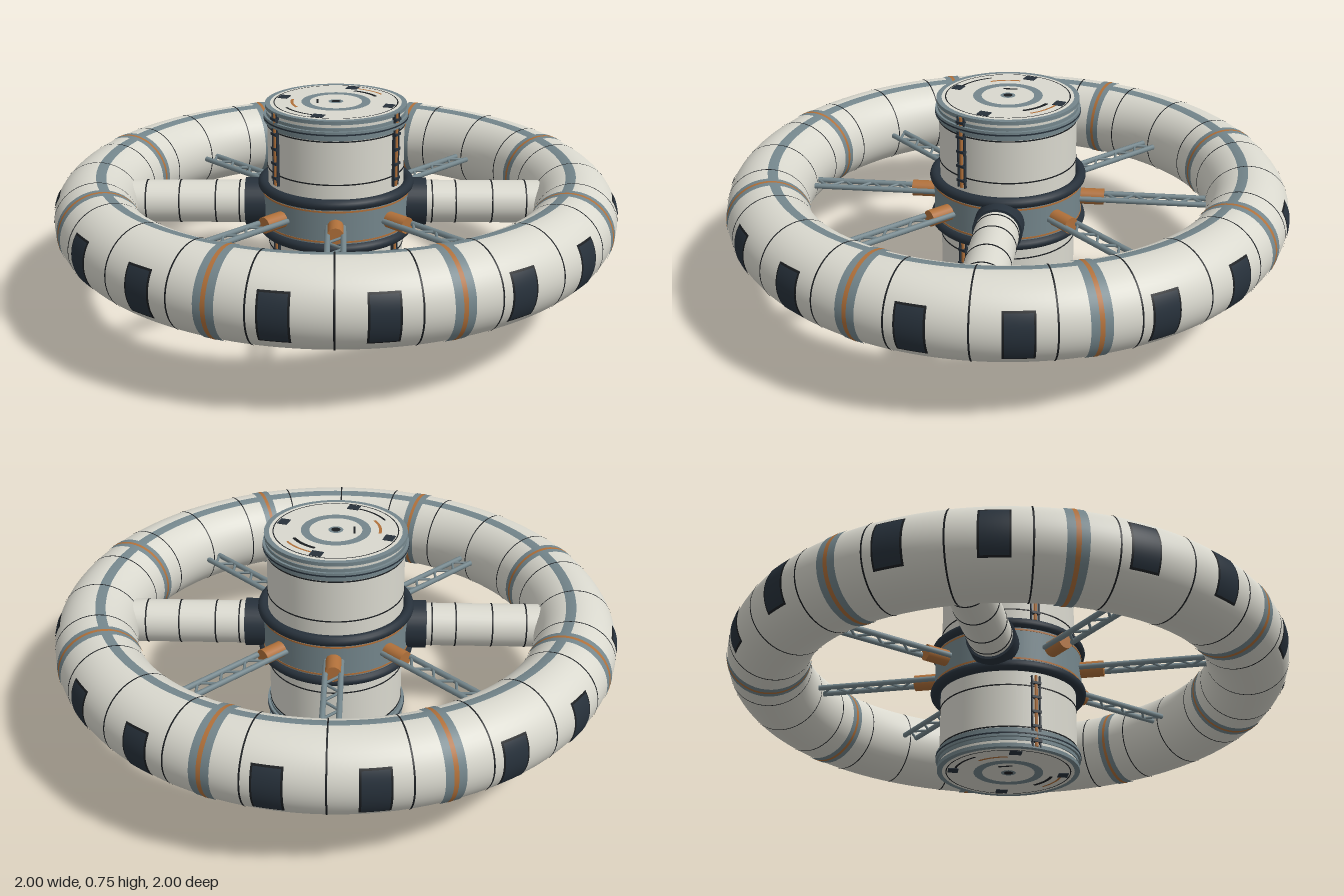
import * as THREE from 'three';
import { ParametricGeometry } from 'three/addons/geometries/ParametricGeometry.js';

const RING = 0.853, TUBE = 0.143, MID = 0.375, HUB = 0.243;
const rad = THREE.MathUtils.degToRad;

function material(name, color) {
  const m = new THREE.MeshStandardMaterial({ color });
  m.name = name;
  return m;
}

export function createModel() {
  const white = material('hull white', 0xd9d8ce);
  const steel = material('steel blue', 0x74868c);
  const navy = material('dark navy', 0x27313b);
  const black = material('seam black', 0x1b1e21);
  const orange = material('copper orange', 0xb0703a);

  const model = new THREE.Group();
  model.name = 'spaceStation';

  function add(parent, name, geometry, mat, x = 0, y = 0, z = 0) {
    const mesh = new THREE.Mesh(geometry, mat);
    mesh.name = name;
    mesh.position.set(x, y, z);
    parent.add(mesh);
    return mesh;
  }
  function group(parent, name, y = 0) {
    const g = new THREE.Group();
    g.name = name;
    g.position.y = y;
    parent.add(g);
    return g;
  }

  // Patch of the ring: u runs round the ring from +z to +x, v round the tube (degrees)
  function patch(lift, u0, u1, v0, v1, uSeg, vSeg) {
    return new ParametricGeometry((s, t, p) => {
      const u = rad(u0 + (u1 - u0) * s), v = rad(v0 + (v1 - v0) * t);
      const d = RING + (TUBE + lift) * Math.cos(v);
      p.set(d * Math.sin(u), (TUBE + lift) * Math.sin(v), d * Math.cos(u));
    }, uSeg, vSeg);
  }

  // Habitat ring
  const ring = group(model, 'habitatRing', MID);
  add(ring, 'ringHull', patch(0, 0, 360, 0, 360, 192, 48), white);
  add(ring, 'ringTopStripe', patch(0.0015, 0, 360, 93, 107, 192, 4), steel);
  for (let i = 0; i < 24; i++) {
    add(ring, 'ringSeam', patch(0.002, i * 15 - 0.17, i * 15 + 0.17, 0, 360, 1, 48), black);
  }
  for (let i = 0; i < 8; i++) {
    const a = i * 45 + 22.5;
    add(ring, 'jointBand', patch(0.003, a - 2, a + 2, 0, 360, 3, 48), steel);
    add(ring, 'jointStripe', patch(0.004, a - 0.45, a + 0.45, 0, 360, 1, 48), orange);
    for (const s of [-9.3, 9.3]) {
      const w = i * 45 + s - 0.9;
      add(ring, 'windowFrame', patch(0.002, w - 2.9, w + 2.9, -34, 34, 4, 14), black);
      add(ring, 'window', patch(0.0035, w - 2.5, w + 2.5, -31, 31, 4, 14), navy);
    }
  }

  // Hub: steel waist with dark bumpers and copper lines
  const hub = group(model, 'hub', MID);
  const drum = (parent, name, r, h, y, mat) =>
    add(parent, name, new THREE.CylinderGeometry(r, r, h, 64), mat, 0, y, 0);
  drum(hub, 'hubCore', HUB, 0.74, 0, white);
  drum(hub, 'hubWaist', 0.265, 0.17, 0, steel);
  for (const s of [-1, 1]) {
    const bumper = add(hub, 'waistBumper', new THREE.TorusGeometry(0.261, 0.019, 12, 64), navy, 0, s * 0.08, 0);
    bumper.rotation.x = Math.PI / 2;
    drum(hub, 'waistLine', 0.2665, 0.006, s * 0.055, orange);
  }

  // Flat cap details, drawn in the xy plane then laid on the end of the hub
  function arc(parent, name, r0, r1, start, length, mat, lift) {
    add(parent, name, new THREE.RingGeometry(r0, r1, 48, 1, rad(start), rad(length)), mat, 0, 0, lift);
  }

  // Upper and lower ends, the lower one turned over about x
  for (const s of [1, -1]) {
    const end = group(model, s > 0 ? 'upperEnd' : 'lowerEnd', MID);
    if (s < 0) end.rotation.x = Math.PI;
    drum(end, 'endRim', 0.25, 0.013, 0.366, steel);
    drum(end, 'endBand', 0.255, 0.022, 0.325, steel);
    drum(end, 'bandEdge', 0.2565, 0.005, 0.325, navy);
    drum(end, 'endCollar', 0.2465, 0.045, 0.325, steel);
    drum(end, 'endSeam', 0.245, 0.004, 0.298, black);
    drum(end, 'lowerSeam', 0.245, 0.004, 0.145, black);

    const cap = group(end, 'endCap', 0.3726);
    cap.rotation.x = -Math.PI / 2;
    arc(cap, 'capPlate', 0, 0.232, 0, 360, white, 0.0002);
    arc(cap, 'capSeam', 0.216, 0.22, 0, 360, black, 0.001);
    arc(cap, 'dockingRing', 0.092, 0.122, 0, 360, steel, 0.001);
    arc(cap, 'dockingPort', 0, 0.026, 0, 360, steel, 0.001);
    arc(cap, 'dockingCore', 0, 0.016, 0, 360, black, 0.0016);
    arc(cap, 'capMark', 0.15, 0.163, 25, 40, black, 0.001);
    arc(cap, 'capMark', 0.15, 0.16, 170, 40, orange, 0.001);
    arc(cap, 'capMark', 0.185, 0.193, 30, 35, orange, 0.001);
    arc(cap, 'capMark', 0.185, 0.193, 205, 40, black, 0.001);
    add(cap, 'capSlot', new THREE.BoxGeometry(0.007, 0.05, 0.002), black, -0.065, 0.002, 0.001);
    for (let i = 0; i < 4; i++) {
      const a = rad(-18 + i * 90);
      const hatch = add(cap, 'capHatch', new THREE.BoxGeometry(0.036, 0.042, 0.003), navy,
        0.194 * Math.cos(a), 0.194 * Math.sin(a), 0.0006);
      hatch.rotation.z = a;
    }

    // Conduits with clamps beside a dark rail, on both front quarters
    for (const side of [-1, 1]) {
      const conduit = group(end, 'conduit');
      conduit.rotation.y = s > 0 ? rad(57 * side) : Math.PI - rad(57 * side);
      add(conduit, 'conduitPipe', new THREE.CylinderGeometry(0.006, 0.006, 0.26, 8), orange, 0, 0.237, 0.249);
      for (const dx of [-0.014, 0.014]) {
        add(conduit, 'conduitRail', new THREE.BoxGeometry(0.005, 0.26, 0.012), navy, dx, 0.237, 0.246);
      }
      for (let i = 0; i < 5; i++) {
        add(conduit, 'conduitClamp', new THREE.BoxGeometry(0.034, 0.009, 0.02), navy, 0, 0.135 + i * 0.053, 0.247);
      }
    }
  }

  // Spokes, each built along +z and turned into place
  for (let i = 0; i < 8; i++) {
    const walkway = i % 4 === 2;
    const spoke = group(model, walkway ? 'walkwaySpoke' : 'trussSpoke', MID);
    spoke.rotation.y = i * Math.PI / 4;
    const rod = (name, r, z0, z1, mat, x = 0, sides = 32) => {
      const m = add(spoke, name, new THREE.CylinderGeometry(r, r, z1 - z0, sides), mat, x, 0, (z0 + z1) / 2);
      m.rotation.x = Math.PI / 2;
    };
    if (walkway) {
      rod('walkwayTube', 0.077, 0.25, 0.735, white);
      rod('walkwayCollar', 0.086, 0.24, 0.325, navy);
      for (const z of [0.345, 0.43, 0.56, 0.68]) rod('walkwaySeam', 0.0785, z - 0.0025, z + 0.0025, black);
    } else {
      rod('trussSocket', 0.029, 0.25, 0.348, orange, 0, 24);
      for (const x of [-0.027, 0.027]) rod('trussRail', 0.01, 0.26, 0.73, steel, x, 10);
      // Zigzag braces between the rails
      const n = 7, step = 0.36 / n;
      for (let k = 0; k < n; k++) {
        const dir = k % 2 ? 1 : -1;
        const brace = add(spoke, 'trussBrace',
          new THREE.CylinderGeometry(0.005, 0.005, Math.hypot(step, 0.054), 6), steel,
          0, 0, 0.352 + (k + 0.5) * step);
        brace.quaternion.setFromUnitVectors(new THREE.Vector3(0, 1, 0),
          new THREE.Vector3(0.054 * dir, 0, step).normalize());
      }
    }
  }
  return model;
}
